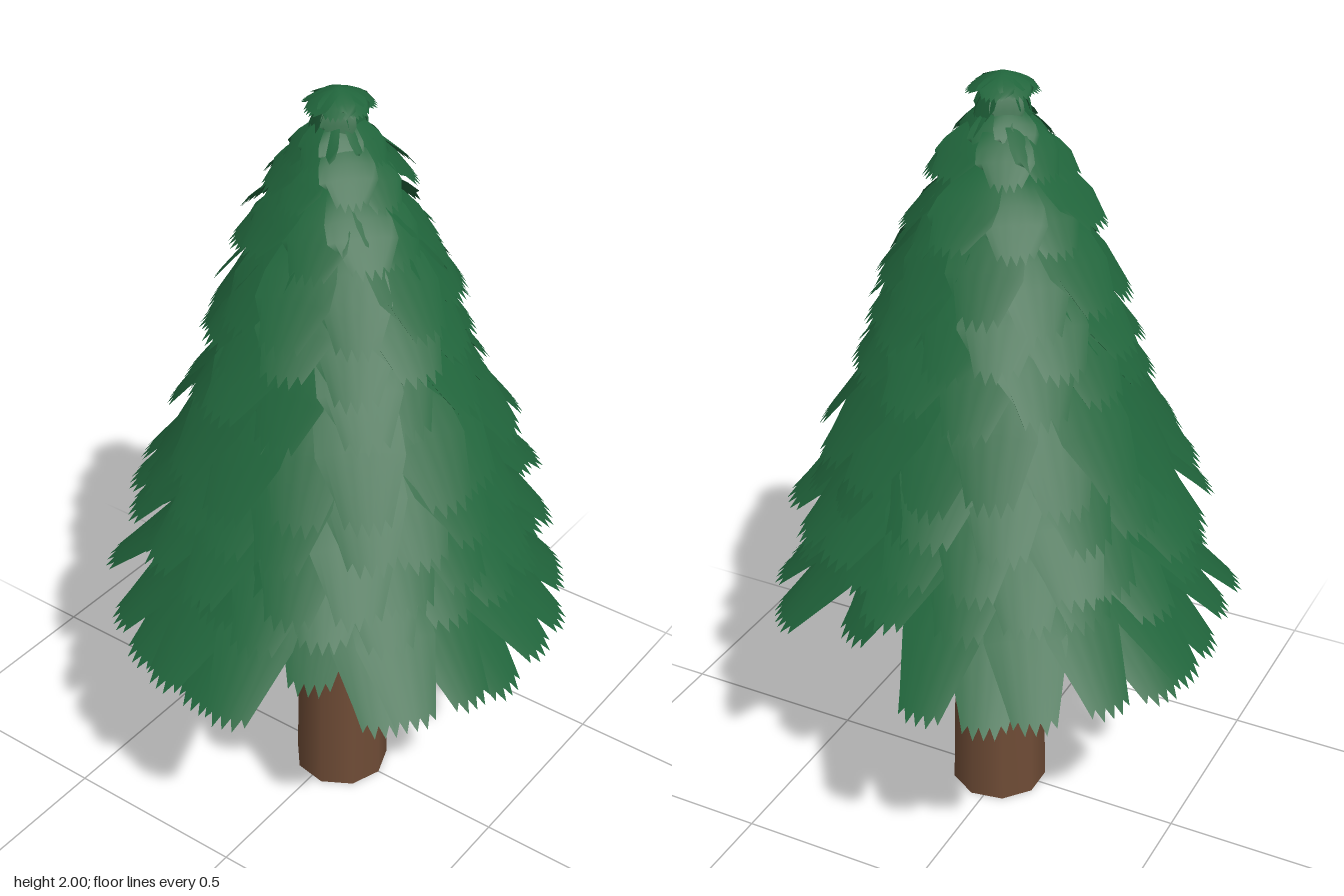
import * as THREE from 'three';
import { mergeGeometries } from 'three/addons/utils/BufferGeometryUtils.js';

// Small seeded generator returning values in -1..1
function makeJitter(seed) {
  let s = seed;
  return () => {
    s = (s * 16807) % 2147483647;
    return (s / 2147483647) * 2 - 1;
  };
}

const COLUMNS = 10;
const ROWS = 5;
const DROOP = 1.45; // above 1 the leaf bends down towards its tip

// Half-width of a leaf along its length: narrow stem, broad shoulder, rounded tip
function leafWidth(u) {
  return u < 0.7 ? THREE.MathUtils.lerp(0.4, 1, u / 0.7) : 1 - 0.38 * ((u - 0.7) / 0.3) ** 2;
}

// One drooping, jagged-tipped leaf between an inner and an outer point at a compass angle
function hangLeaf(angle, y0, r0, y1, r1, width, jitter) {
  const g = new THREE.PlaneGeometry(2, 1, COLUMNS, ROWS);
  const p = g.attributes.position;
  const length = Math.hypot(r1 - r0, y1 - y0);
  const skew = jitter() * 0.06;
  const twist = jitter() * 0.12;
  for (let i = 0; i < p.count; i++) {
    const side = p.getX(i);
    const column = i % (COLUMNS + 1);
    const notch = column % 2 ? 0 : 0.13;
    const end = 1 - (0.22 * side ** 4 + notch) * Math.min(1, width / length);
    const row = 0.5 - p.getY(i);
    // teeth only shorten the last row
    const u = row > 0.99 ? end : row * 0.84;
    const x = side * (width / 2) * leafWidth(row);
    p.setXYZ(i,
      x + skew * u * length,
      y0 + (y1 - y0) * u ** DROOP - 0.05 * width * side * side,
      r0 + (r1 - r0) * u + x * twist);
  }
  g.computeVertexNormals();
  g.rotateY(Math.PI / 2 - angle);
  return g;
}

export function createModel() {
  const tree = new THREE.Group();
  tree.name = 'pineTree';
  const bark = new THREE.MeshStandardMaterial({ color: 0x6f4c36, side: THREE.DoubleSide });
  bark.name = 'bark brown';
  const needles = new THREE.MeshStandardMaterial({ color: 0x20643b, side: THREE.DoubleSide });
  needles.name = 'needle green';
  const jitter = makeJitter(4217);

  // Trunk, open below and tapering up inside the canopy
  const profile = [[0.127, 0], [0.115, 0.6], [0.095, 0.9], [0.055, 1.4], [0.012, 1.92]]
    .map(([r, y]) => new THREE.Vector2(r, y));
  const trunk = new THREE.Mesh(new THREE.LatheGeometry(profile, 9), bark);
  trunk.name = 'trunk';
  trunk.position.z = 0.012;
  tree.add(trunk);

  // Tiers from the tip down: inner y, inner radius, outer y, outer radius, leaves, leaf width
  const tiers = [
    [2.0, 0.0, 1.955, 0.09, 7, 0.09],
    [1.985, 0.02, 1.885, 0.068, 6, 0.085],
    [1.93, 0.02, 1.83, 0.125, 8, 0.11],
    [1.9, 0.03, 1.77, 0.185, 9, 0.14],
    [1.8, 0.04, 1.63, 0.245, 11, 0.17],
    [1.72, 0.06, 1.475, 0.32, 12, 0.19],
    [1.62, 0.06, 1.375, 0.34, 13, 0.2],
    [1.52, 0.08, 1.25, 0.37, 14, 0.21],
    [1.43, 0.1, 1.08, 0.455, 16, 0.22],
    [1.31, 0.1, 0.98, 0.48, 17, 0.22],
    [1.2, 0.1, 0.865, 0.53, 18, 0.22],
    [1.08, 0.1, 0.775, 0.515, 18, 0.22],
  ];
  tiers.forEach(([y0, r0, y1, r1, count, width], t) => {
    const leaves = [];
    for (let i = 0; i < count; i++) {
      const angle = ((i + (t % 2) * 0.5 + jitter() * 0.2) / count) * Math.PI * 2;
      const lift = t === 0 ? 0 : jitter() * Math.min(0.028, 0.005 * t);
      const reach = r1 * (1 + jitter() * 0.045);
      leaves.push(hangLeaf(angle, y0 + lift, r0, y1 + lift, reach, width, jitter));
    }
    const mesh = new THREE.Mesh(mergeGeometries(leaves), needles);
    mesh.name = `needleTier${t + 1}`;
    tree.add(mesh);
  });

  // Bottom skirt: clumps of long leaves, with short steep ones inside the gaps
  const skirtAngles = [-8, -20, -31, -52, -64, -78, -92, -106, -121, -142, -155, -168, -181, -190,
    136, 123, 109, 96, 82, 69, 56, 43];
  const innerAngles = [[30, 0.46], [152, 0.45], [-42, 0.32], [-131, 0.35]];
  const skirt = [
    ...skirtAngles.map((deg) => [deg, 0.605 + jitter() * 0.018]),
    ...innerAngles,
  ].map(([deg, reach]) => {
    const lift = jitter() * 0.018;
    return hangLeaf(THREE.MathUtils.degToRad(deg), 0.95 + lift, 0.1, 0.59 + lift, reach, 0.21, jitter);
  });
  const skirtMesh = new THREE.Mesh(mergeGeometries(skirt), needles);
  skirtMesh.name = 'bottomSkirt';
  tree.add(skirtMesh);
  return tree;
}
